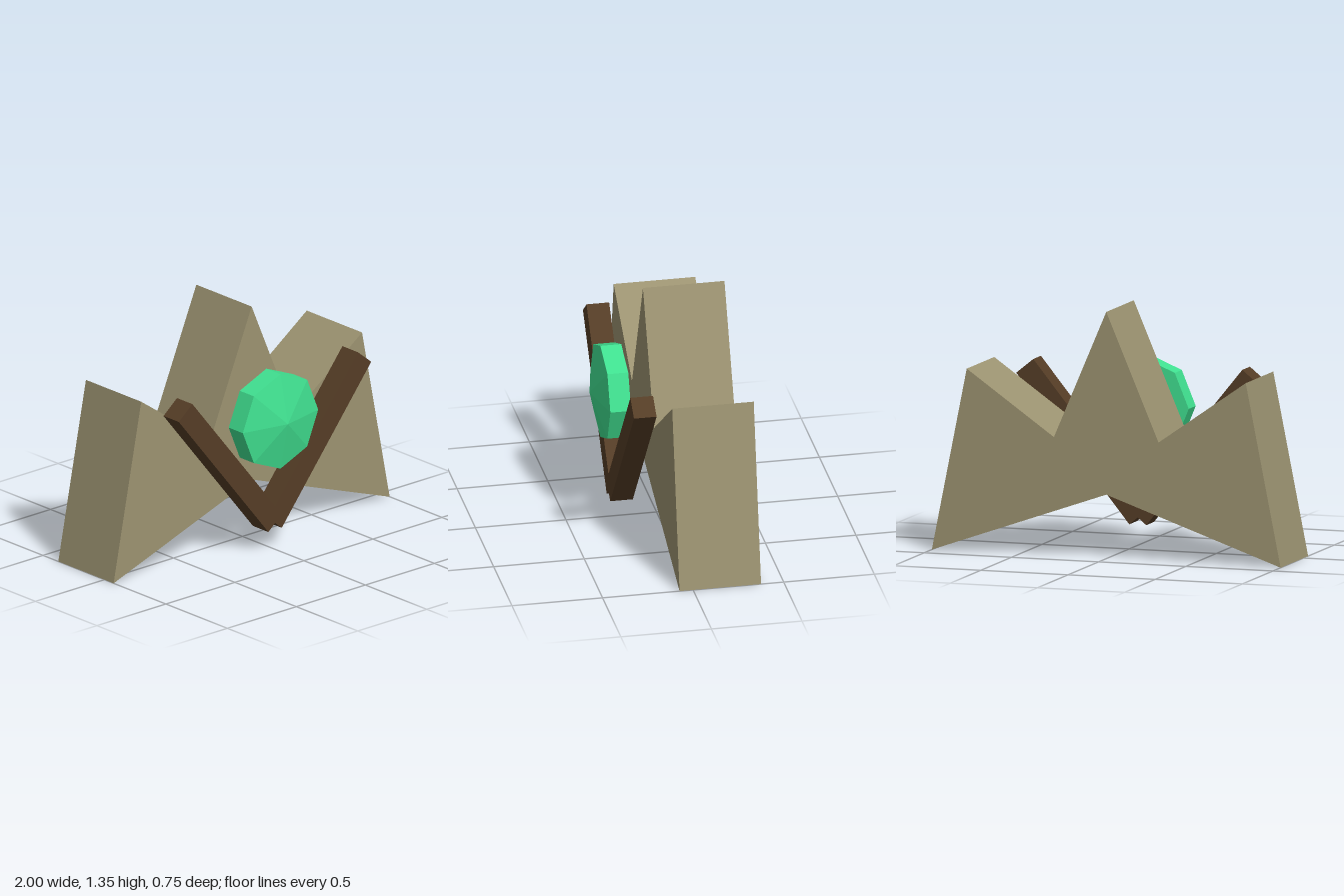
import * as THREE from 'three';

export function createModel() {
  const model = new THREE.Group();
  const material = (color) => new THREE.MeshStandardMaterial({ color, flatShading: true });
  const stone = material(0x9c9371);
  const wood = material(0x553d26);
  const crystal = material(0x40e090);

  const add = (name, geometry, mat, parent = model) => {
    const mesh = new THREE.Mesh(geometry, mat);
    mesh.name = name;
    parent.add(mesh);
    return mesh;
  };

  // Three-pointed body with an arched underside
  const outline = [[-1, 0], [0, 0.35], [1, 0], [0.8, 1], [0.3, 0.65], [0, 1.35], [-0.3, 0.65], [-0.8, 1]];
  const shape = new THREE.Shape(outline.map(([x, y]) => new THREE.Vector2(x, y)));
  const body = add('crownBody', new THREE.ExtrudeGeometry(shape, { depth: 0.45, bevelEnabled: false }), stone);
  body.position.z = -0.375;

  // Two bars crossing at the bottom to form a V
  for (const side of [1, -1]) {
    const bar = add(side > 0 ? 'leftBar' : 'rightBar', new THREE.BoxGeometry(0.126, 1.028, 0.125), wood);
    bar.position.set(side * 0.324, 0.551, 0.203);
    bar.rotation.z = -side * Math.atan2(0.65, 0.8);
  }

  // Eight-sided gem: straight girdle with a shallow pointed front
  const gem = new THREE.Group();
  gem.name = 'gem';
  gem.position.set(0, 0.752, 0.195);
  gem.rotation.x = Math.PI / 2;
  model.add(gem);
  const girdle = add('gemGirdle', new THREE.CylinderGeometry(0.273, 0.273, 0.115, 8), crystal, gem);
  girdle.position.y = 0.0575;
  const point = add('gemPoint', new THREE.ConeGeometry(0.273, 0.06, 8, 1, true), crystal, gem);
  point.position.y = 0.145;

  return model;
}
